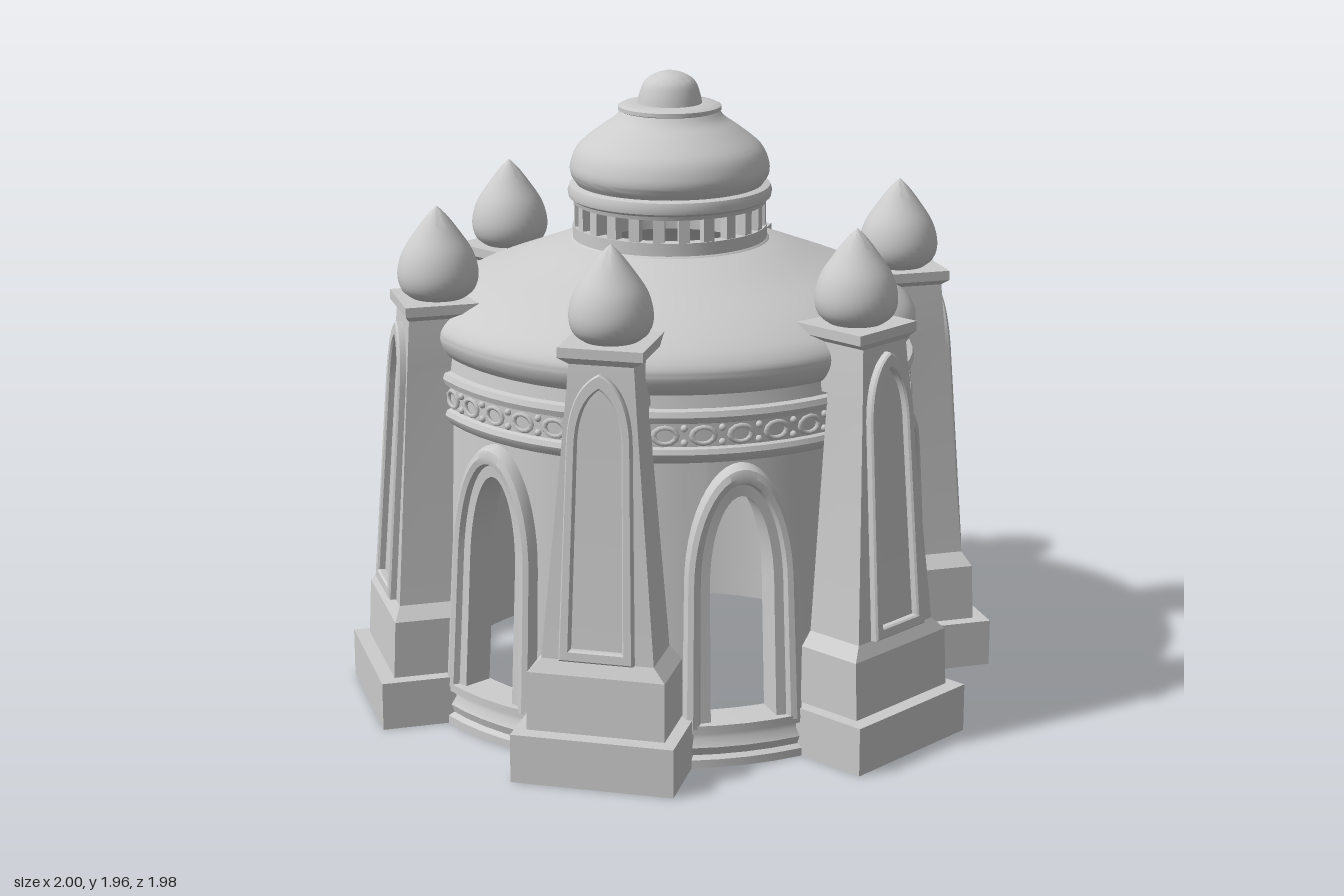
import * as THREE from 'three';
import { toCreasedNormals, mergeGeometries } from 'three/addons/utils/BufferGeometryUtils.js';

const stone = new THREE.MeshStandardMaterial({ color: 0xcccccc, side: THREE.DoubleSide });
const SECTOR = Math.PI / 3;

function add(parent, name, geometry) {
  const mesh = new THREE.Mesh(geometry, stone);
  mesh.name = name;
  parent.add(mesh);
  return mesh;
}

// Turned part from [radius, height] pairs, listed upwards along the outside
function turned(points, segments = 60, crease = 0.6) {
  const profile = points.map(([r, y]) => new THREE.Vector2(r, y));
  return toCreasedNormals(new THREE.LatheGeometry(profile, segments), crease);
}

// Smooth curve through [radius, height] pairs
function smooth(points, divisions = 20) {
  const curve = new THREE.SplineCurve(points.map(([r, y]) => new THREE.Vector2(r, y)));
  return curve.getPoints(divisions).map((p) => [Math.max(p.x, 0), p.y]);
}

// Skin over a row of cross-sections, each an equal number of [x, y, z] points
function loft(rings, closed = true, crease = 0.6) {
  const n = rings[0].length;
  const index = [];
  for (let i = 0; i < rings.length - 1; i++) {
    for (let j = 0; j < (closed ? n : n - 1); j++) {
      const a = i * n + j, b = i * n + ((j + 1) % n);
      index.push(a, a + n, b, b, a + n, b + n);
    }
  }
  const g = new THREE.BufferGeometry();
  g.setAttribute('position', new THREE.Float32BufferAttribute(rings.flat(2), 3));
  g.setIndex(index);
  return toCreasedNormals(g, crease);
}

const polar = (a, r, y) => [r * Math.sin(a), y, r * Math.cos(a)];
const wallRadius = (y) => 0.79 - 0.058 * (y - 0.15);

// Doorway outline grown outwards by d; t runs from PI (one springing) to 0 (the other)
const archPoint = (t, d) => [(0.1 + d) * Math.cos(t), 0.55 + (0.27 + d * 1.3) * Math.sin(t)];
const ARCH = Array.from({ length: 25 }, (_, i) => Math.PI * (1 - i / 24));

// Leaning round wall pierced by six arched doorways
function wallGeometry() {
  const rings = [];
  const inner = 0.71, top = 0.95, low = 0.1, edge = 0.11 / 0.78;
  const section = (a, y) => rings.push([
    polar(a, wallRadius(y), y), polar(a, wallRadius(top), top), polar(a, inner, top), polar(a, inner, y),
  ]);
  for (let k = 0; k < 6; k++) {
    const c = k * SECTOR;
    for (let i = 0; i <= 5; i++) section(c - SECTOR / 2 + (SECTOR / 2 - edge) * i / 5, low);
    for (const t of ARCH) {
      const [x, y] = archPoint(t, 0.01);
      section(c + x / 0.78, y);
    }
    for (let i = 0; i <= 5; i++) section(c + edge + (SECTOR / 2 - edge) * i / 5, low);
  }
  return loft(rings);
}

// Stepped moulding around a doorway, bent to the wall
function surroundGeometry() {
  const profile = [[0, -0.075], [0, 0.012], [0.028, 0.016], [0.034, 0.034],
    [0.05, 0.04], [0.066, 0.034], [0.076, 0.012], [0.078, -0.03]];
  const ring = (x0, y0) => profile.map(([d, h]) => {
    const [x, y] = [x0(d), y0(d)];
    return polar(x / 0.78, wallRadius(y) + h, y);
  });
  const rings = ARCH.map((t) => ring((d) => archPoint(t, d)[0], (d) => archPoint(t, d)[1]));
  rings.unshift(ring((d) => -0.1 - d * 1.08, () => 0.12));
  rings.push(ring((d) => 0.1 + d * 1.08, () => 0.12));
  return loft(rings, false);
}

// Relief of alternating rings and beads around the frieze
function friezeGeometry() {
  const parts = [];
  const count = 42;
  for (let i = 0; i < count; i++) {
    const a = (i / count) * Math.PI * 2;
    const hoop = new THREE.TorusGeometry(0.025, 0.007, 5, 12).scale(1.35, 1, 1);
    parts.push(hoop.translate(0, 1.01, 0.753).rotateY(a));
    for (const y of [0.988, 1.032]) {
      const bead = new THREE.SphereGeometry(0.011, 8, 6);
      parts.push(bead.translate(0, y, 0.752).rotateY(a + Math.PI / count));
    }
  }
  return mergeGeometries(parts);
}

// Tapering buttress: rows of [height, half width, outer distance, inner distance]
function buttressGeometry() {
  const rows = [
    [0, 0.247, 1, 0.735], [0.15, 0.247, 1, 0.735], [0.152, 0.21, 0.955, 0.735], [0.33, 0.208, 0.947, 0.735],
    [0.37, 0.17, 0.925, 0.735], [1.1, 0.108, 0.871, 0.735], [1.101, 0.108, 0.871, 0.635], [1.25, 0.097, 0.86, 0.635],
    [1.27, 0.128, 0.875, 0.618], [1.3, 0.128, 0.875, 0.618],
  ];
  const rings = rows.map(([y, w, o, i]) => [[o, y, -w], [o, y, w], [i, y, w], [i, y, -w]]);
  const flat = ([y, , o, i]) => [[o, y, 0], [o, y, 0], [i, y, 0], [i, y, 0]];
  return loft([flat(rows[0]), ...rings, flat(rows[rows.length - 1])], true, 0.1);
}

// Tall outline with an arched head
function archShape(Type, w, bottom, spring, top) {
  const s = new Type();
  s.moveTo(-w, bottom);
  s.lineTo(w, bottom);
  s.lineTo(w, spring);
  s.quadraticCurveTo(w * 0.95, top - 0.04, 0, top);
  s.quadraticCurveTo(-w * 0.95, top - 0.04, -w, spring);
  s.closePath();
  return s;
}

// Raised border around a sunk panel, narrowing upwards
function panelFrameGeometry() {
  const shape = archShape(THREE.Shape, 0.108, 0, 0.66, 0.85);
  shape.holes.push(archShape(THREE.Path, 0.085, 0.025, 0.65, 0.815));
  const g = new THREE.ExtrudeGeometry(shape, {
    depth: 0.03, curveSegments: 10, bevelEnabled: true, bevelThickness: 0.006, bevelSize: 0.005, bevelSegments: 1,
  });
  const p = g.attributes.position;
  for (let i = 0; i < p.count; i++) p.setX(i, p.getX(i) * (1 - 0.22 * p.getY(i)));
  return toCreasedNormals(g, 0.5);
}

export function createModel() {
  const model = new THREE.Group();
  model.name = 'domedPavilion';
  const hall = new THREE.Group();
  hall.name = 'roundHall';
  hall.position.set(-0.022, 0, -0.012);
  model.add(hall);

  add(hall, 'plinth', turned([[0.712, 0], [0.835, 0], [0.835, 0.025], [0.818, 0.035], [0.826, 0.06],
    [0.812, 0.085], [0.812, 0.1], [0.828, 0.105], [0.828, 0.13], [0.712, 0.135], [0.712, 0]]));
  add(hall, 'wall', wallGeometry());
  const surround = surroundGeometry();
  for (let k = 0; k < 6; k++) add(hall, 'doorSurround', surround).rotation.y = k * SECTOR;

  // Cornice with its frieze
  add(hall, 'cornice', turned([[0.712, 0.92], [0.748, 0.925], [0.762, 0.94], [0.768, 0.955], [0.762, 0.97],
    [0.75, 0.975], [0.75, 1.045], [0.764, 1.05], [0.77, 1.068], [0.764, 1.085], [0.745, 1.09],
    [0.735, 1.15], [0.712, 1.15], [0.712, 0.92]]));
  add(hall, 'friezeRelief', friezeGeometry());

  // Shallow main roof, hollow below
  const roofTop = smooth([[0.735, 1.125], [0.758, 1.15], [0.772, 1.19], [0.762, 1.225], [0.72, 1.265],
    [0.62, 1.32], [0.48, 1.375], [0.36, 1.42], [0.27, 1.445]], 32);
  add(hall, 'mainRoof', turned([[0.7, 1.12], ...roofTop, [0.27, 1.4], [0.45, 1.34], [0.62, 1.25], [0.7, 1.12]]));

  // Lantern: open ring of posts carrying the small dome
  add(hall, 'lanternBase', turned([[0.265, 1.4], [0.318, 1.42], [0.31, 1.435], [0.303, 1.44],
    [0.303, 1.48], [0.265, 1.48], [0.265, 1.4]]));
  for (let i = 0; i < 24; i++) {
    const a = ((i + 0.5) / 24) * Math.PI * 2;
    const post = add(hall, 'lanternPost', new THREE.BoxGeometry(0.034, 0.09, 0.03));
    post.position.set(0.284 * Math.sin(a), 1.52, 0.284 * Math.cos(a));
    post.rotation.y = a;
  }
  const onion = smooth([[0.29, 1.61], [0.308, 1.64], [0.308, 1.675], [0.285, 1.725], [0.225, 1.775],
    [0.175, 1.81], [0.153, 1.835]], 24);
  const crown = smooth([[0.1, 1.858], [0.093, 1.89], [0.078, 1.925], [0.045, 1.948], [0, 1.96]], 14);
  add(hall, 'lanternDome', turned([[0, 1.55], [0.3, 1.55], [0.303, 1.562], [0.315, 1.57], [0.318, 1.588],
    [0.312, 1.605], [0.29, 1.61], ...onion, [0.16, 1.838], [0.16, 1.85], [0.145, 1.857], ...crown], 48));

  // Six buttresses with panels and pointed finials
  const buttress = buttressGeometry();
  const frame = panelFrameGeometry();
  const finial = turned(smooth([[0.075, 1.295], [0.112, 1.325], [0.124, 1.375], [0.108, 1.44],
    [0.066, 1.505], [0.028, 1.555], [0, 1.582]], 24), 32);
  for (let k = 0; k < 6; k++) {
    const pier = new THREE.Group();
    pier.name = 'buttress';
    pier.rotation.y = k * SECTOR;
    pier.position.z = -0.005;
    add(pier, 'buttressBody', buttress);
    const border = add(pier, 'panelFrame', frame);
    border.rotation.set(0, Math.PI / 2, 0);
    const tilt = new THREE.Group();
    tilt.name = 'panel';
    tilt.position.set(0.913, 0.375, 0);
    tilt.rotation.z = 0.074;
    tilt.add(border);
    pier.add(tilt);
    add(pier, 'finial', finial).position.x = 0.748;
    model.add(pier);
  }
  return model;
}
